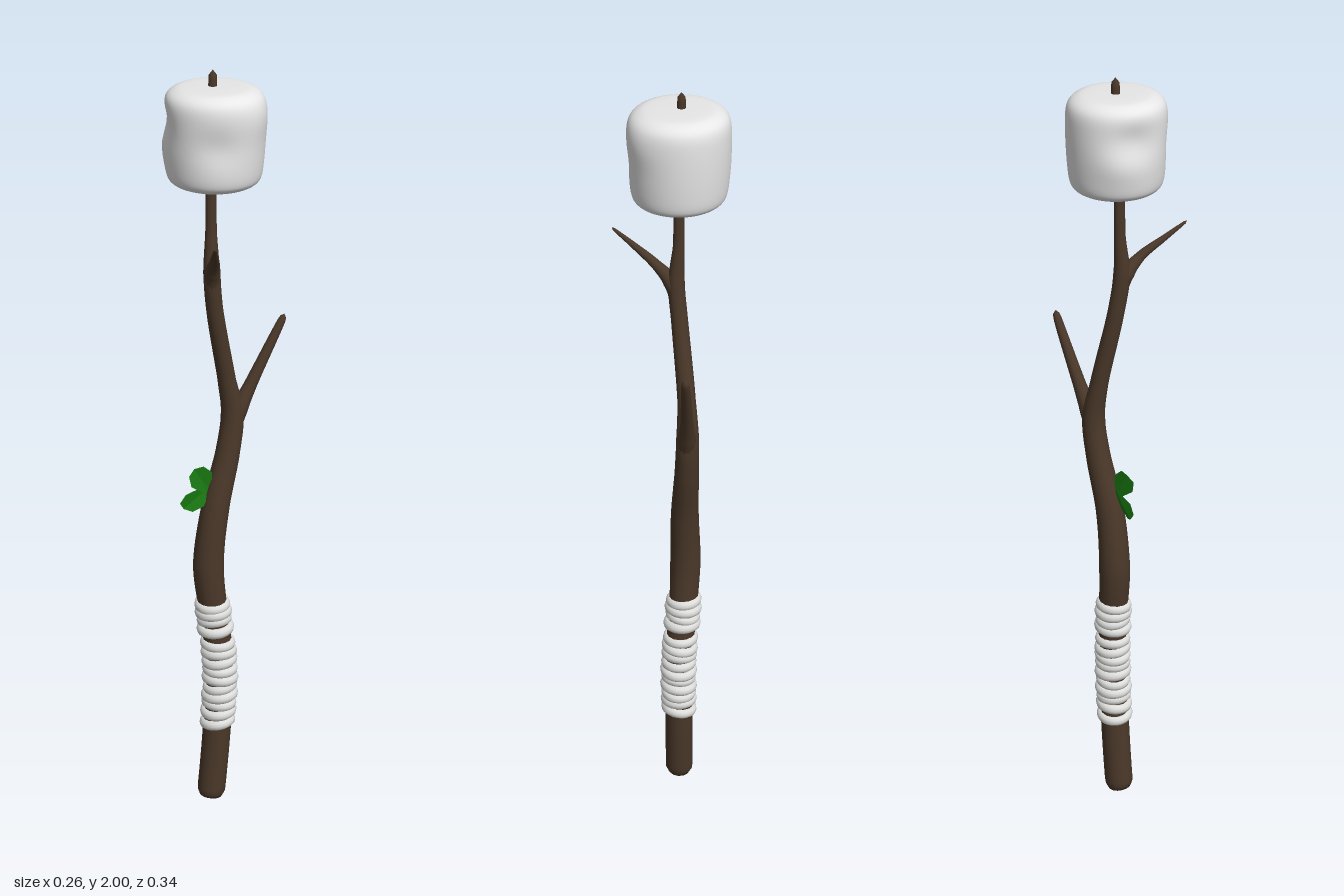
import * as THREE from 'three';
import { mergeVertices } from 'three/addons/utils/BufferGeometryUtils.js';

const mat = (name, color, side = THREE.FrontSide) => {
  const m = new THREE.MeshStandardMaterial({ color, side });
  m.name = name;
  return m;
};

const mesh = (name, geometry, material) => {
  const m = new THREE.Mesh(geometry, material);
  m.name = name;
  return m;
};

// Weld the seams so that the surface shades smoothly all round
function smooth(geometry) {
  geometry.deleteAttribute('uv');
  geometry.deleteAttribute('normal');
  const g = mergeVertices(geometry, 1e-5);
  g.computeVertexNormals();
  return g;
}

// Tube through points [x, y, z, radius]
function limb(points, segments, sides) {
  const curve = new THREE.CatmullRomCurve3(points.map(p => new THREE.Vector3(p[0], p[1], p[2])));
  const g = new THREE.TubeGeometry(curve, segments, 1, sides);
  const pos = g.attributes.position;
  const v = new THREE.Vector3();
  for (let i = 0; i <= segments; i++) {
    const u = i / segments;
    const centre = curve.getPointAt(u);
    const t = curve.getUtoTmapping(u) * (points.length - 1);
    const k = Math.min(Math.floor(t), points.length - 2);
    const r = THREE.MathUtils.lerp(points[k][3], points[k + 1][3], t - k);
    for (let j = 0; j <= sides; j++) {
      const n = i * (sides + 1) + j;
      v.fromBufferAttribute(pos, n).sub(centre).multiplyScalar(r).add(centre);
      pos.setXYZ(n, v.x, v.y, v.z);
    }
  }
  return smooth(g);
}

export function createModel() {
  const bark = mat('bark brown', 0x4a3829);
  const sugar = mat('marshmallow white', 0xe8e8e8);
  const cord = mat('cord white', 0xdededc);
  const green = mat('leaf green', 0x1a7a12, THREE.DoubleSide);
  const model = new THREE.Group();
  model.name = 'marshmallowStick';

  // Crooked main stick
  const trunk = [
    [-0.006, 0.002, 0.024, 0.0], [-0.006, 0.008, 0.023, 0.026], [-0.005, 0.03, 0.02, 0.037],
    [0.004, 0.2, 0.008, 0.037], [0.01, 0.4, 0.0, 0.037], [-0.006, 0.55, 0.004, 0.037],
    [-0.018, 0.69, 0.01, 0.04], [-0.006, 0.85, -0.004, 0.036], [0.012, 1.0, -0.038, 0.031],
    [0.018, 1.1, -0.05, 0.029], [0.01, 1.2, -0.034, 0.023], [0.0, 1.4, 0.01, 0.021],
    [0.0, 1.5, 0.024, 0.021], [-0.004, 1.6, 0.02, 0.014], [-0.005, 1.75, 0.018, 0.013],
    [-0.005, 1.985, 0.009, 0.01], [-0.005, 1.996, 0.009, 0.007], [-0.005, 2.0, 0.009, 0],
  ];
  model.add(mesh('stick', limb(trunk, 160, 14), bark));

  // Side twigs
  model.add(mesh('lowerTwig', limb([
    [0.014, 1.03, -0.042, 0.02], [0.03, 1.11, -0.064, 0.023], [0.048, 1.17, -0.09, 0.017],
    [0.1, 1.33, -0.157, 0.01], [0.104, 1.342, -0.161, 0.007], [0.105, 1.347, -0.162, 0],
  ], 40, 10), bark));
  model.add(mesh('upperTwig', limb([
    [0.0, 1.44, 0.018, 0.015], [0.008, 1.5, 0.035, 0.02], [0.03, 1.54, 0.066, 0.013],
    [0.06, 1.58, 0.12, 0.008], [0.088, 1.614, 0.167, 0.003], [0.089, 1.616, 0.169, 0],
  ], 40, 10), bark));

  // Marshmallow: rounded barrel with soft dents
  const profile = [[0, -0.122], [0.06, -0.121], [0.085, -0.117], [0.104, -0.107], [0.113, -0.09],
    [0.118, -0.05], [0.121, 0], [0.122, 0.05], [0.12, 0.085], [0.112, 0.105], [0.095, 0.117],
    [0.07, 0.122], [0, 0.123]];
  const spline = new THREE.SplineCurve(profile.map(p => new THREE.Vector2(...p)));
  const outline = spline.getPoints(44);
  outline[0].x = outline[44].x = 0;
  const puff = new THREE.LatheGeometry(outline, 48);
  const pos = puff.attributes.position;
  const dents = [[-0.11, 0.035, 0.07, 0.014], [0.07, 0.0, 0.11, 0.01], [-0.12, -0.02, 0.03, -0.007],
    [0.11, 0.06, 0.0, -0.006]];
  for (let i = 0; i < pos.count; i++) {
    const x = pos.getX(i), y = pos.getY(i), z = pos.getZ(i);
    let s = 1;
    for (const [dx, dy, dz, depth] of dents) {
      const d2 = (x - dx) ** 2 + ((y - dy) * 1.3) ** 2 + (z - dz) ** 2;
      s -= depth / 0.12 * Math.exp(-d2 / 0.0035);
    }
    pos.setXYZ(i, x * s * 1.02, y, z * s);
  }
  const marshmallow = mesh('marshmallow', smooth(puff), sugar);
  marshmallow.position.set(0, 1.838, 0.011);
  model.add(marshmallow);

  // Cord wrapped around the grip, each turn tilted a little differently
  const grip = new THREE.Group();
  grip.name = 'cordWrap';
  const path = new THREE.CatmullRomCurve3(trunk.map(p => new THREE.Vector3(p[0], p[1], p[2])));
  const samples = path.getPoints(500);
  const turns = [0.238, 0.27, 0.294, 0.318, 0.343, 0.368, 0.394, 0.419, 0.443, 0.469, 0.512, 0.536,
    0.559, 0.58];
  const coil = new THREE.TorusGeometry(0.036, 0.0115, 10, 28);
  coil.rotateX(Math.PI / 2);
  coil.scale(1, 1.2, 1);
  turns.forEach((y, i) => {
    const c = samples.find(p => p.y >= y);
    const turn = mesh('cordTurn', coil, cord);
    turn.position.set(c.x, y, c.z);
    turn.rotation.set(0.1 * Math.sin(i * 2.1), 0, 0.07 + 0.1 * Math.cos(i * 1.7));
    turn.scale.setScalar(1 + 0.035 * Math.sin(i * 2.7));
    grip.add(turn);
  });
  model.add(grip);

  // Two blunt folded leaves: base, direction, half width
  const leaf = (name, base, dir, wide) => {
    const b = new THREE.Vector3(...base), d = new THREE.Vector3(...dir), w = new THREE.Vector3(...wide);
    const fold = d.clone().cross(w).normalize().multiplyScalar(0.007);
    const at = (along, across) => b.clone().addScaledVector(d, along).addScaledVector(w, across)
      .addScaledVector(fold, Math.abs(across));
    const rim = [[0, -0.25], [0.6, -1], [0.92, -0.7], [1, 0], [0.92, 0.7], [0.6, 1], [0, 0.25]];
    const mid = at(0.5, 0);
    const pts = [];
    for (let i = 0; i < rim.length; i++) {
      pts.push(mid, at(...rim[i]), at(...rim[(i + 1) % rim.length]));
    }
    const g = new THREE.BufferGeometry().setFromPoints(pts);
    g.computeVertexNormals();
    return mesh(name, g, green);
  };
  model.add(leaf('upperLeaf', [-0.015, 0.895, 0.008], [-0.024, 0.077, 0.038], [-0.016, -0.014, 0.025]));
  model.add(leaf('lowerLeaf', [-0.015, 0.915, 0.008], [-0.048, -0.055, 0.05], [0.018, -0.018, -0.014]));

  return model;
}
